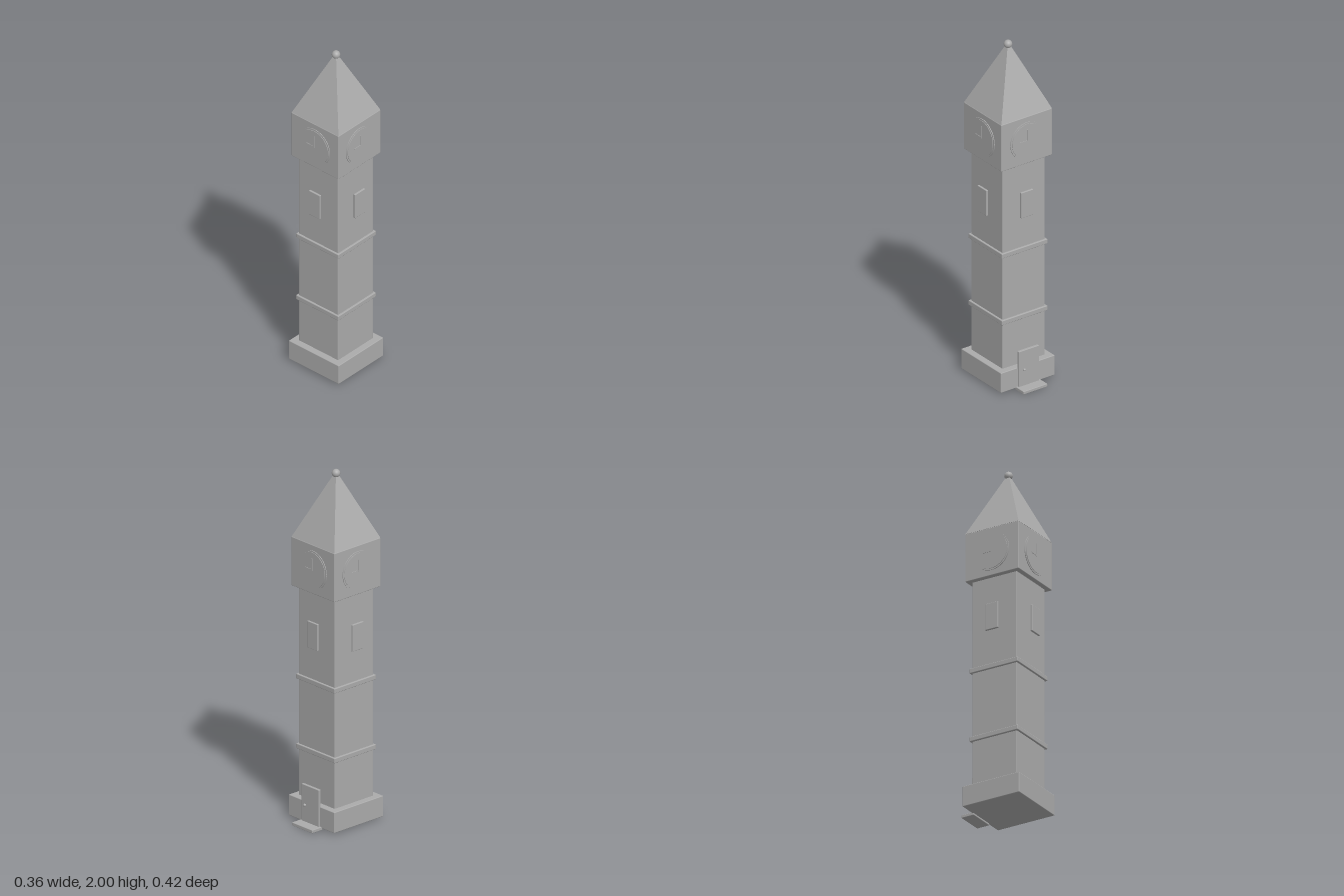
import * as THREE from 'three';
import { RoundedBoxGeometry } from 'three/addons/geometries/RoundedBoxGeometry.js';

const stone = new THREE.MeshStandardMaterial({ color: 0xaaaaaa });
stone.name = 'grey stone';

function add(parent, name, geometry, x = 0, y = 0, z = 0) {
  const mesh = new THREE.Mesh(geometry, stone);
  mesh.name = name;
  mesh.position.set(x, y, z);
  parent.add(mesh);
  return mesh;
}

// Softly bevelled box spanning y0..y1
function block(parent, name, w, y0, y1, d, x = 0, z = 0, r = 0.004) {
  return add(parent, name, new RoundedBoxGeometry(w, y1 - y0, d, 2, r), x, (y0 + y1) / 2, z);
}

// Round plate facing +z between depths z0 and z1
function disc(parent, name, radius, y, z0, z1) {
  const g = new THREE.CylinderGeometry(radius, radius, z1 - z0, 48).rotateX(Math.PI / 2);
  return add(parent, name, g, 0, y, (z0 + z1) / 2);
}

export function createModel() {
  const model = new THREE.Group();
  model.name = 'clockTower';

  const tower = new THREE.Group();
  tower.name = 'tower';
  tower.position.z = 0.033;
  model.add(tower);

  // Stacked masonry
  block(tower, 'base', 0.356, 0.011, 0.13, 0.356);
  block(tower, 'shaft', 0.28, 0.12, 1.34, 0.28);
  for (const y of [0.41, 0.81]) block(tower, 'band', 0.302, y - 0.014, y + 0.014, 0.302);
  block(tower, 'belfry', 0.336, 1.33, 1.61, 0.336);

  // Pyramid roof and finial
  const roof = new THREE.ConeGeometry(0.167 * Math.SQRT2, 0.38, 4).rotateY(Math.PI / 4).toNonIndexed();
  roof.computeVertexNormals();
  add(tower, 'roof', roof, 0, 1.8, 0);
  add(tower, 'finial', new THREE.SphereGeometry(0.023, 24, 16), 0, 1.977, 0);

  // Each side carries a clock and a window standing proud of the shaft
  for (let i = 0; i < 4; i++) {
    const side = new THREE.Group();
    side.name = 'side';
    side.rotation.y = i * Math.PI / 2;
    tower.add(side);
    const cy = 1.469;
    disc(side, 'clockRim', 0.109, cy, 0.166, 0.172);
    disc(side, 'clockFace', 0.1, cy, 0.166, 0.175);
    add(side, 'minuteHand', new THREE.BoxGeometry(0.007, 0.072, 0.005), 0, cy + 0.031, 0.1755);
    add(side, 'hourHand', new THREE.BoxGeometry(0.055, 0.007, 0.005), -0.024, cy, 0.1755);
    block(side, 'window', 0.08, 1.013, 1.166, 0.013, 0, 0.167, 0.003);
  }

  // Door, knob and step at the back
  block(model, 'door', 0.134, 0.012, 0.228, 0.017, 0, -0.147, 0.003);
  add(model, 'doorKnob', new THREE.SphereGeometry(0.008, 16, 12), 0.035, 0.115, -0.162);
  block(model, 'step', 0.158, 0, 0.018, 0.077, 0, -0.175, 0.003);

  return model;
}
